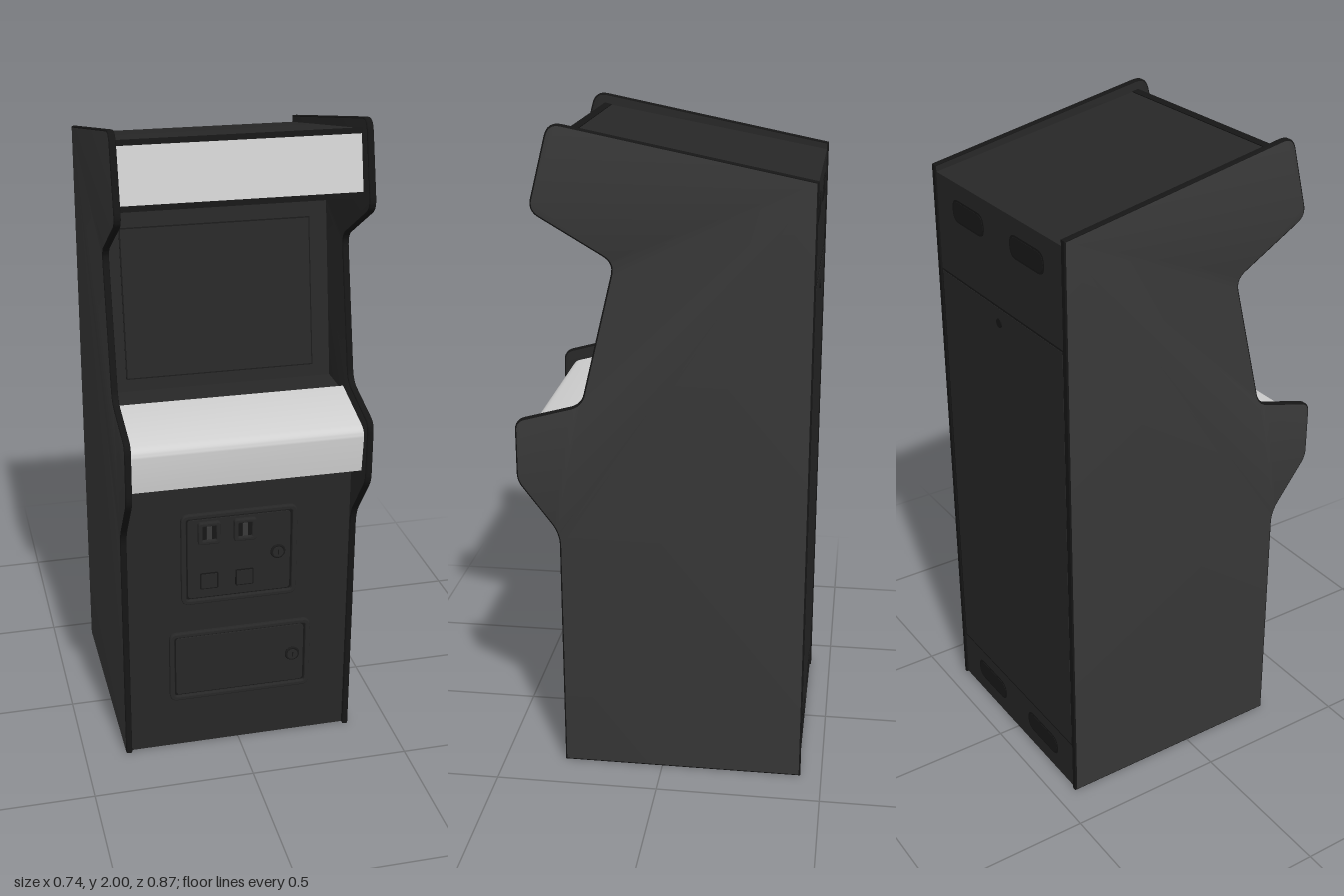
import * as THREE from 'three';
import { toCreasedNormals } from 'three/addons/utils/BufferGeometryUtils.js';

const mat = (name, color) => {
  const m = new THREE.MeshStandardMaterial({ color });
  m.name = name;
  return m;
};

// Closed shape from [x, y, cornerRadius] points
function roundedShape(pts) {
  const s = new THREE.Shape();
  pts.forEach(([x, y, r = 0], i) => {
    const p = new THREE.Vector2(x, y);
    const n = pts.length;
    const a = new THREE.Vector2(...pts[(i + n - 1) % n].slice(0, 2)).sub(p).setLength(r).add(p);
    const b = new THREE.Vector2(...pts[(i + 1) % n].slice(0, 2)).sub(p).setLength(r).add(p);
    if (i) s.lineTo(a.x, a.y); else s.moveTo(a.x, a.y);
    if (r) s.quadraticCurveTo(x, y, b.x, b.y);
  });
  s.closePath();
  return s;
}

const rect = (w, h, r = 0) => roundedShape([
  [-w / 2, -h / 2, r], [w / 2, -h / 2, r], [w / 2, h / 2, r], [-w / 2, h / 2, r]]);

// Extrudes a (z, y) outline across x, centred on x = 0
function acrossX(shape, width, opts = {}) {
  const g = new THREE.ExtrudeGeometry(shape, { depth: width, bevelEnabled: false, curveSegments: 8, ...opts });
  g.translate(0, 0, -width / 2).rotateY(-Math.PI / 2);
  return toCreasedNormals(g, 0.6);
}

export function createModel() {
  const root = new THREE.Group();
  root.name = 'arcadeCabinet';

  const side = mat('sidePanelGrey', 0x393939);
  const body = mat('bodyCharcoal', 0x272727);
  const trim = mat('blackTrim', 0x161616);
  const light = mat('paleGrey', 0xd0d0d0);
  const seam = mat('darkSeam', 0x1a1a1a);

  const add = (parent, name, geo, material, x = 0, y = 0, z = 0) => {
    const m = new THREE.Mesh(geo, material);
    m.name = name;
    m.position.set(x, y, z);
    parent.add(m);
    return m;
  };
  const group = (name, x, y, z) => {
    const g = new THREE.Group();
    g.name = name;
    g.position.set(x, y, z);
    root.add(g);
    return g;
  };
  const plate = (w, h, d, r = 0) =>
    new THREE.ExtrudeGeometry(rect(w, h, r), { depth: d, bevelEnabled: false, curveSegments: 6 });
  const frame = (w, h, t, d, r) => {
    const s = rect(w, h, r);
    s.holes.push(rect(w - 2 * t, h - 2 * t, Math.max(r - t, 0.003)));
    return new THREE.ExtrudeGeometry(s, {
      depth: d - 0.004, bevelThickness: 0.004, bevelSize: 0.004, bevelOffset: -0.004, bevelSegments: 2, curveSegments: 6 });
  };
  const cyl = (r, d) => new THREE.CylinderGeometry(r, r, d, 20).rotateX(Math.PI / 2);

  // Side panels with rounded black edge moulding
  const outline = roundedShape([
    [0.31, 0], [0.31, 0.78, 0.04], [0.435, 0.945, 0.025], [0.435, 1.135, 0.03], [0.235, 1.19, 0.035],
    [0.133, 1.615, 0.035], [0.375, 1.757, 0.035], [0.312, 2.004, 0.04], [-0.435, 1.856], [-0.435, 0]].reverse());
  for (const sx of [1, -1]) {
    const g = acrossX(outline, 0.01, { bevelThickness: 0.005, bevelSize: 0.005, bevelOffset: -0.005, bevelSegments: 3, bevelEnabled: true });
    // The first half of the caps faces +x, the second half -x
    const [caps, edge] = g.groups.map((o) => ({ ...o }));
    g.clearGroups();
    g.addGroup(caps.start, caps.count / 2, sx > 0 ? 0 : 1);
    g.addGroup(caps.start + caps.count / 2, caps.count / 2, sx > 0 ? 1 : 0);
    g.addGroup(edge.start, edge.count, 2);
    add(root, sx > 0 ? 'leftSidePanel' : 'rightSidePanel', g, [side, body, trim], sx * 0.36, 0, 0);
  }

  // Inner body between the sides
  const inner = roundedShape([
    [0.3, 0.003], [0.3, 0.965], [0.18, 0.965], [0.18, 1.14], [0.05, 1.14], [-0.04, 1.68],
    [0.305, 1.78], [0.265, 1.963, 0.01], [-0.43, 1.835], [-0.43, 0.003]].reverse());
  add(root, 'innerBody', acrossX(inner, 0.704), body);

  // Speaker panel under the marquee
  const speaker = roundedShape([[-0.045, 1.679], [0.305, 1.778], [0.303, 1.784], [-0.045, 1.685]]);
  add(root, 'speakerPanel', acrossX(speaker, 0.7), trim);

  // Control panel, a bent sheet with a soft front edge
  const control = roundedShape([
    [0.17, 0.965], [0.395, 0.965], [0.408, 1.1, 0.03], [0.19, 1.158, 0.006], [0.17, 1.14]].reverse());
  add(root, 'controlPanel', acrossX(control, 0.7), light);

  // Marquee with two retainers
  const marquee = group('marquee', 0, 1.87, 0.289);
  marquee.rotation.x = -Math.atan2(0.04, 0.183);
  add(marquee, 'marqueePanel', new THREE.BoxGeometry(0.7, 0.17, 0.008), light);
  for (const y of [-0.088, 0.09])
    add(marquee, 'marqueeRetainer', new THREE.BoxGeometry(0.704, 0.016, 0.022), trim, 0, y, 0.002);

  // Recessed screen with a thin outline
  const screen = group('screen', 0, 1.405, 0.007);
  screen.rotation.x = -Math.atan2(0.09, 0.54);
  add(screen, 'screenOutline', plate(0.59, 0.462, 0.002), seam);
  add(screen, 'screenGlass', plate(0.582, 0.454, 0.004), body);

  // Small lock: ring, plug and keyway
  const lock = (parent, x, y, z) => {
    add(parent, 'lockRing', new THREE.TorusGeometry(0.02, 0.004, 8, 20), seam, x, y, z);
    add(parent, 'lockPlug', cyl(0.017, 0.012), body, x, y, z);
    add(parent, 'lockKeyway', new THREE.BoxGeometry(0.004, 0.016, 0.002), trim, x, y, z + 0.0065);
  };
  // Framed door on the front
  const door = (name, x, y, w, h) => {
    const g = group(name, x, y, 0.3);
    add(g, 'doorFrame', frame(w, h, 0.016, 0.012, 0.025), body);
    add(g, 'doorGap', plate(w - 0.03, h - 0.03, 0.002, 0.012), trim);
    add(g, 'doorLeaf', plate(w - 0.042, h - 0.042, 0.006, 0.012), body);
    return g;
  };

  // Coin door with slots above and return flaps below
  const coin = door('coinDoor', -0.002, 0.675, 0.365, 0.31);
  for (const x of [-0.095, 0.017]) {
    add(coin, 'coinSlotFrame', frame(0.07, 0.075, 0.014, 0.014, 0.01), body, x, 0.09, 0.004);
    add(coin, 'coinSlotPlate', plate(0.046, 0.05, 0.003), trim, x, 0.09, 0.006);
    add(coin, 'coinSlot', new THREE.BoxGeometry(0.016, 0.042, 0.008), side, x, 0.09, 0.011);
    add(coin, 'returnFlapEdge', plate(0.058, 0.056, 0.002, 0.005), trim, x, -0.078, 0.006);
    add(coin, 'returnFlap', plate(0.05, 0.048, 0.004, 0.003), body, x, -0.078, 0.006);
  }
  lock(coin, 0.122, 0, 0.01);

  // Cash box door
  const cash = door('cashDoor', 0.003, 0.298, 0.455, 0.245);
  lock(cash, 0.17, 0, 0.01);

  // Rear door, hand grips and latch
  const rear = group('rear', 0, 0, -0.43);
  rear.rotation.y = Math.PI;
  add(rear, 'rearDoorSeam', plate(0.7, 1.37, 0.001), trim, 0, 0.85, 0);
  add(rear, 'rearDoor', plate(0.688, 1.358, 0.002), body, 0, 0.85, 0);
  for (const x of [-0.165, 0.165]) for (const y of [0.09, 1.75]) {
    add(rear, 'handGripRim', plate(0.185, 0.07, 0.001, 0.034), trim, x, y, 0);
    add(rear, 'handGrip', plate(0.172, 0.058, 0.002, 0.028), seam, x, y, 0);
  }
  add(rear, 'rearLatch', cyl(0.014, 0.008), trim, 0, 1.485, 0.002);

  return root;
}
